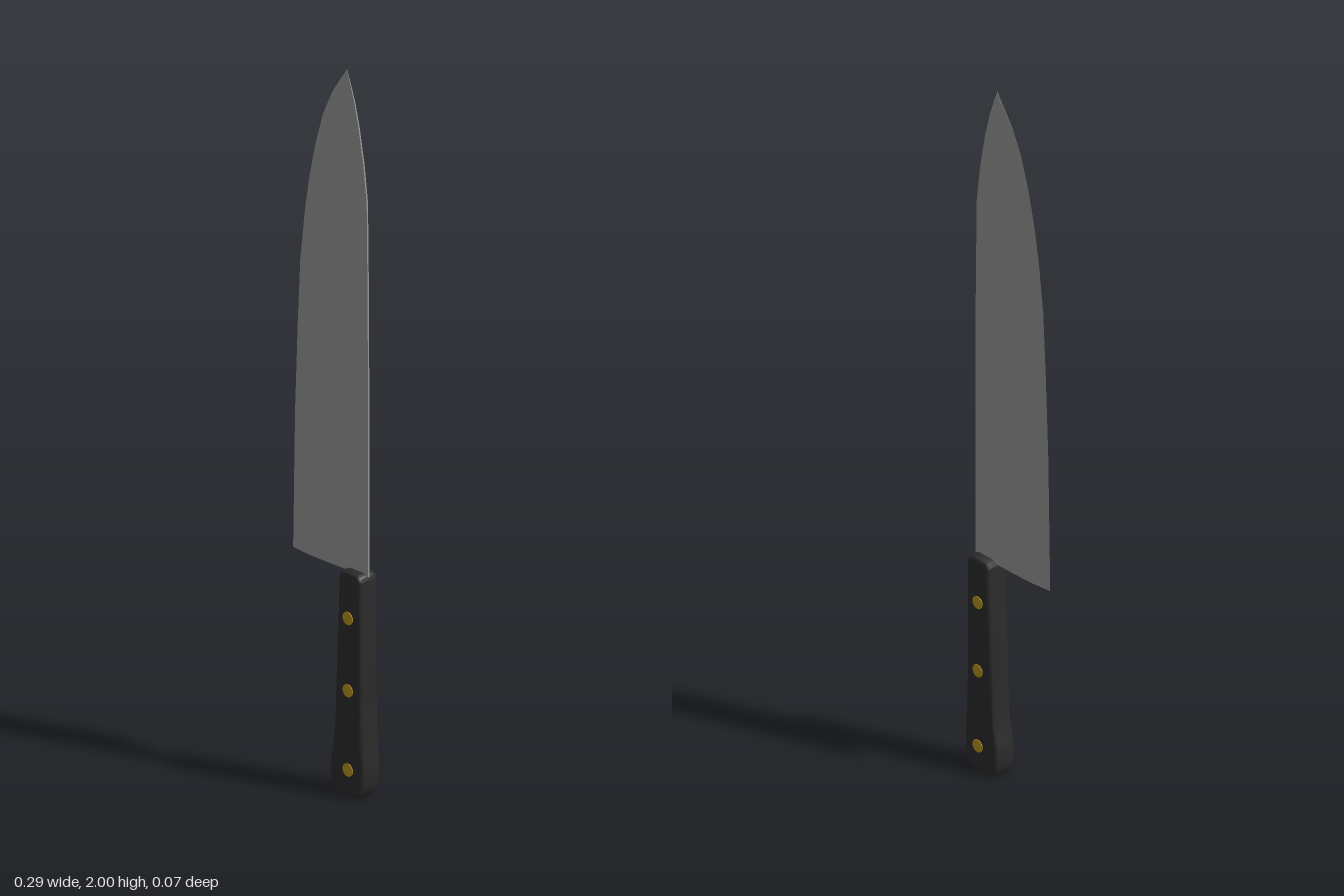
import * as THREE from 'three';
import { toCreasedNormals } from 'three/addons/utils/BufferGeometryUtils.js';

function material(name, color) {
  const m = new THREE.MeshStandardMaterial({ color });
  m.name = name;
  return m;
}

// Blade lofted upwards from thin cross-sections: cutting edge at -x, spine at +x
function bladeGeometry() {
  // y, cutting edge x, spine x, thickness factor
  const stations = [
    [0.617, -0.145, 0.132, 1], [1.0, -0.138, 0.132, 1], [1.25, -0.128, 0.131, 1],
    [1.42, -0.119, 0.13, 1], [1.55, -0.104, 0.128, 1], [1.65, -0.088, 0.127, 1],
    [1.75, -0.066, 0.115, 0.95], [1.85, -0.036, 0.097, 0.85], [1.92, -0.003, 0.08, 0.7],
    [1.965, 0.027, 0.065, 0.45], [2.0, 0.052, 0.053, 0.1],
  ];
  // fraction of the width, half thickness
  const side = [[0.1, 0.0025], [0.24, 0.006], [0.5, 0.0062], [0.75, 0.004], [1, 0.0025]];
  const profile = [[0, 0], ...side, ...side.map(([t, z]) => [t, -z]).reverse()];
  const n = profile.length;
  const positions = [];
  const index = [];
  stations.forEach(([y, edge, spine, thick], i) => {
    profile.forEach(([t, z], j) => {
      positions.push(THREE.MathUtils.lerp(edge, spine, t), y, z * thick);
      if (i === stations.length - 1) return;
      const a = i * n + j;
      const b = i * n + (j + 1) % n;
      index.push(a, b, b + n, a, b + n, a + n);
    });
  });
  // Heel and tip caps
  const top = (stations.length - 1) * n;
  for (let j = 1; j < n - 1; j++) {
    index.push(0, j + 1, j, top, top + j, top + j + 1);
  }
  const geometry = new THREE.BufferGeometry();
  geometry.setAttribute('position', new THREE.Float32BufferAttribute(positions, 3));
  geometry.setIndex(index);
  return toCreasedNormals(geometry, 0.6);
}

// Handle outline, extruded with rounded edges
function handleGeometry() {
  const s = new THREE.Shape();
  s.moveTo(0.045, 0.005);
  s.lineTo(0.115, 0.005);
  s.quadraticCurveTo(0.132, 0.008, 0.139, 0.05);
  s.quadraticCurveTo(0.145, 0.09, 0.139, 0.14);
  s.quadraticCurveTo(0.135, 0.2, 0.134, 0.3);
  s.lineTo(0.133, 0.605);
  s.quadraticCurveTo(0.132, 0.624, 0.115, 0.625);
  s.lineTo(0.068, 0.625);
  s.quadraticCurveTo(0.054, 0.624, 0.053, 0.605);
  s.lineTo(0.036, 0.19);
  s.quadraticCurveTo(0.033, 0.14, 0.022, 0.1);
  s.quadraticCurveTo(0.013, 0.012, 0.045, 0.005);
  const bevel = 0.011;
  const depth = 0.066 - 2 * bevel;
  const geometry = new THREE.ExtrudeGeometry(s, {
    depth, curveSegments: 6, bevelEnabled: true,
    bevelThickness: bevel, bevelSize: bevel, bevelOffset: -bevel, bevelSegments: 3,
  });
  geometry.translate(0, 0, -depth / 2);
  return toCreasedNormals(geometry, 0.7);
}

export function createModel() {
  const steel = material('steel', 0x969696);
  const black = material('black handle', 0x2b2b2b);
  const brass = material('brass', 0xb8901c);

  const model = new THREE.Group();
  model.name = 'kitchenKnife';
  const add = (name, geometry, mat) => {
    const mesh = new THREE.Mesh(geometry, mat);
    mesh.name = name;
    model.add(mesh);
    return mesh;
  };

  add('blade', bladeGeometry(), steel);
  add('handle', handleGeometry(), black);

  // Rivets pass right through the handle and show on both faces
  const rivet = new THREE.CylinderGeometry(0.018, 0.018, 0.07, 20).rotateX(Math.PI / 2);
  [0.08, 0.3, 0.5].forEach((y, i) => {
    add('rivet' + (i + 1), rivet, brass).position.set(0.09, y, 0);
  });
  return model;
}
